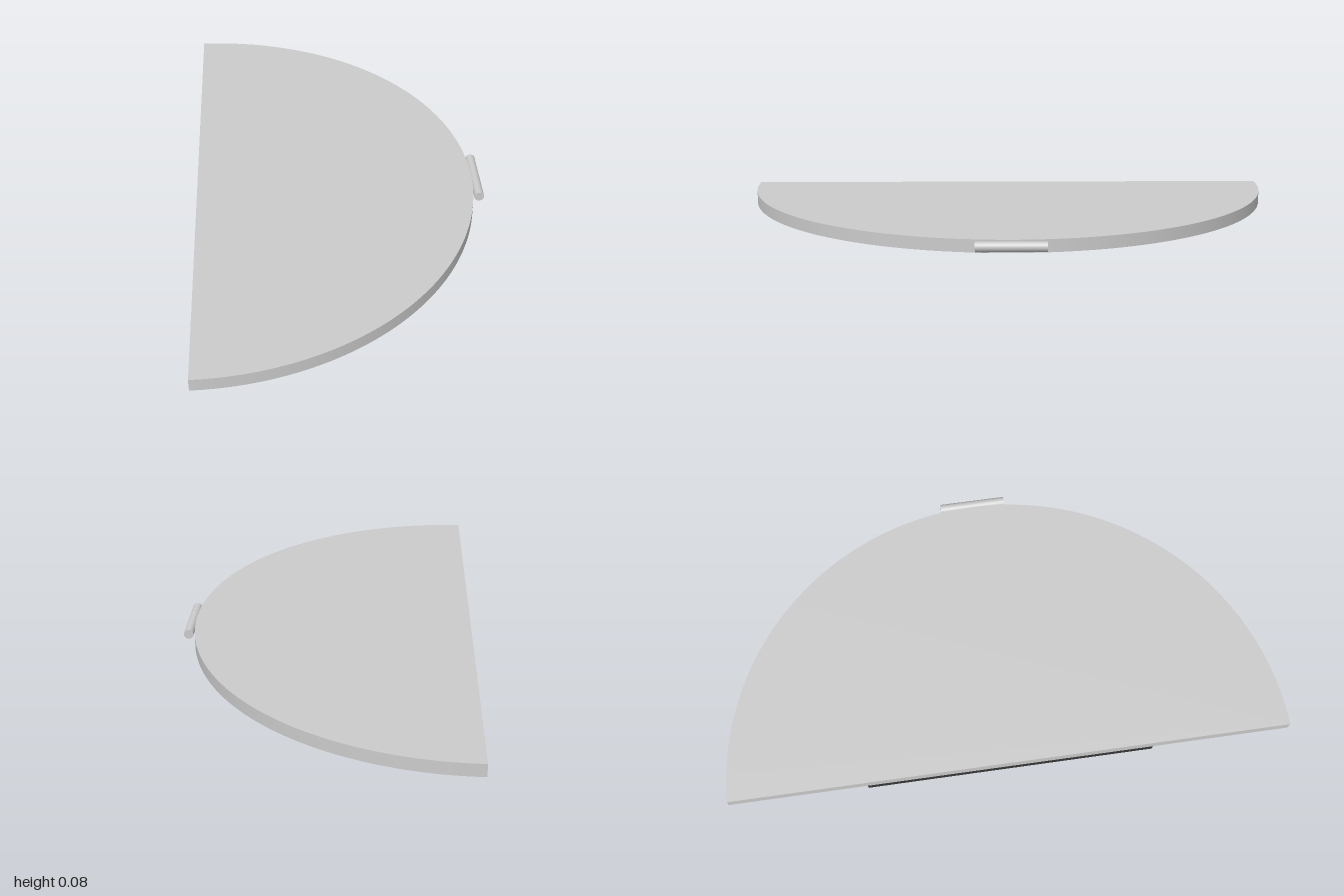
import * as THREE from 'three';
import { toCreasedNormals } from 'three/addons/utils/BufferGeometryUtils.js';

const FLAT_X = -0.517; // plane of the straight edge

// Solid half disc lying flat, straight edge on FLAT_X, bulging towards +x
function halfDisc(name, radius, bottom, height, material) {
  const shape = new THREE.Shape();
  shape.absarc(0, 0, radius, -Math.PI / 2, Math.PI / 2, false);
  shape.closePath();
  const geometry = new THREE.ExtrudeGeometry(shape, {
    depth: height, bevelEnabled: false, curveSegments: 64,
  });
  geometry.rotateX(-Math.PI / 2);
  const mesh = new THREE.Mesh(toCreasedNormals(geometry, 0.5), material);
  mesh.name = name;
  mesh.position.set(FLAT_X, bottom, 0);
  return mesh;
}

export function createModel() {
  const grey = new THREE.MeshStandardMaterial({ color: 0xcccccc });
  const dark = new THREE.MeshStandardMaterial({ color: 0x383838 });
  const model = new THREE.Group();
  model.name = 'halfRoundPanel';

  // Main slab and the smaller dark pad beneath it
  model.add(halfDisc('slab', 1, 0.032, 0.045, grey));
  model.add(halfDisc('basePad', 0.51, 0, 0.032, dark));

  // Round handle at the middle of the curved edge
  const handle = new THREE.Mesh(new THREE.CylinderGeometry(0.0175, 0.0175, 0.24, 32), grey);
  handle.name = 'handle';
  handle.rotation.x = Math.PI / 2;
  handle.position.set(0.499, 0.057, 0);
  model.add(handle);

  return model;
}
